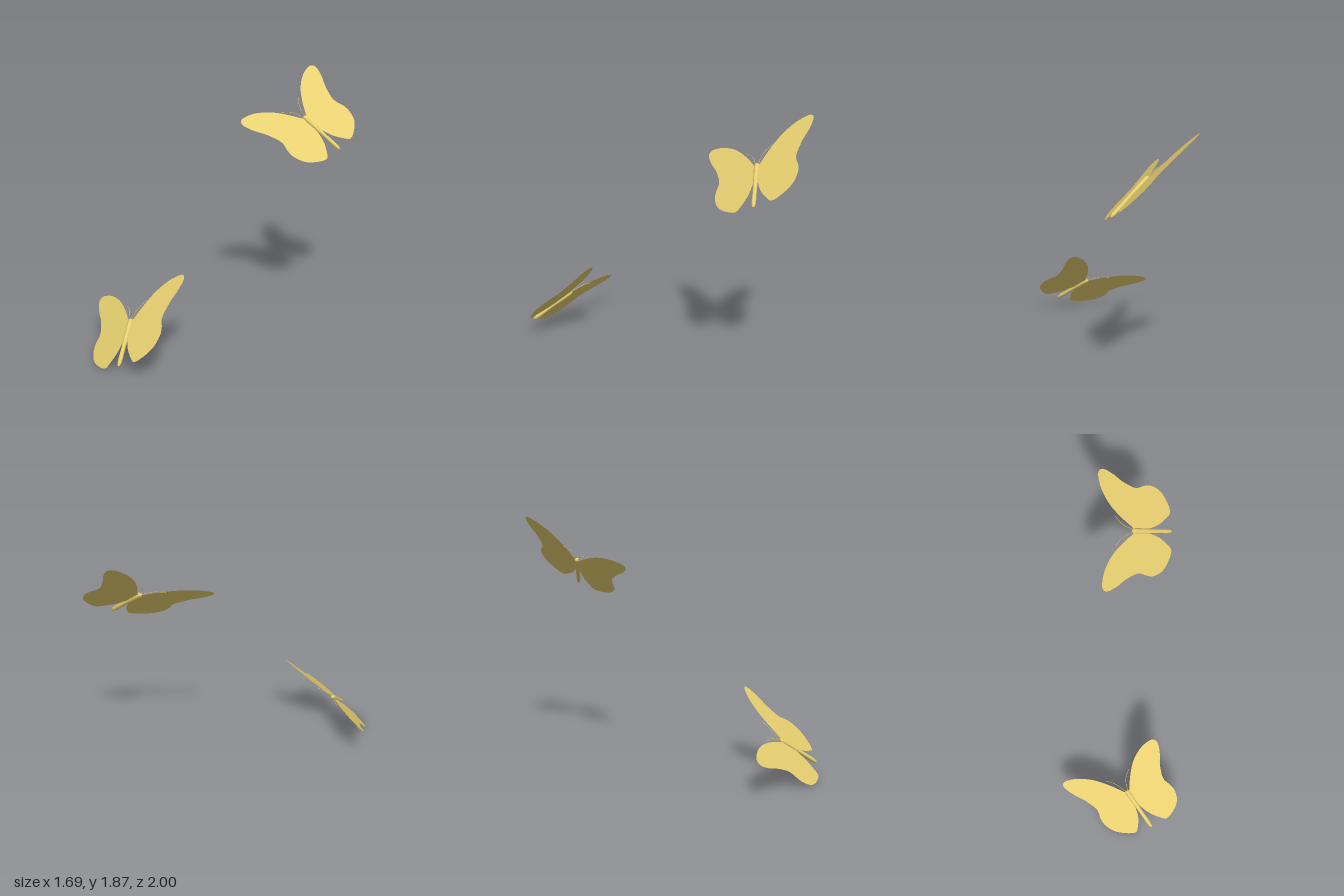
import * as THREE from 'three';

const material = new THREE.MeshStandardMaterial({ color: 0xe8d070, side: THREE.DoubleSide });

// Wing outline: x runs out from the body, y runs towards the head
const leadingEdge = [[0.025, 0.017], [0.087, 0.111], [0.173, 0.211], [0.268, 0.278],
  [0.348, 0.306], [0.402, 0.306], [0.423, 0.266], [0.393, 0.18], [0.344, 0.096], [0.307, 0.002]];
const hindEdge = [[0.303, -0.045], [0.322, -0.111], [0.323, -0.175], [0.29, -0.256],
  [0.222, -0.315], [0.142, -0.349], [0.097, -0.31], [0.048, -0.236], [0.02, -0.152]];

function wingGeometry(side) {
  const pts = (list) => list.map(([x, y]) => new THREE.Vector2(x * side, y));
  const shape = new THREE.Shape();
  shape.moveTo(0, 0.012);
  shape.lineTo(leadingEdge[0][0] * side, leadingEdge[0][1]);
  shape.splineThru(pts(leadingEdge.slice(1)));
  shape.splineThru(pts(hindEdge));
  shape.lineTo(0, -0.1);
  return new THREE.ShapeGeometry(shape, 3);
}

function add(group, name, geometry) {
  const mesh = new THREE.Mesh(geometry, material);
  mesh.name = name;
  group.add(mesh);
  return mesh;
}

// One butterfly, lying in its local xy plane with the head towards +y
function butterfly(name, origin, across, forward, droop) {
  const group = new THREE.Group();
  group.name = name;

  // Slim body, thicker at the head, rounded at the tail
  const profile = [[0, -0.36], [0.008, -0.355], [0.014, -0.335], [0.016, -0.3],
    [0.015, -0.22], [0.018, -0.1], [0.02, -0.03], [0.018, 0.01], [0.011, 0.02], [0, 0.022]];
  add(group, 'body', new THREE.LatheGeometry(profile.map(([r, y]) => new THREE.Vector2(r, y)), 10));

  for (const side of [1, -1]) {
    const label = side > 0 ? 'left' : 'right';
    add(group, label + 'Wing', wingGeometry(side)).rotation.y = side * droop;

    // Thin curved antenna
    const curve = new THREE.CatmullRomCurve3([[0.008, 0.01, 0], [0.034, 0.085, 0], [0.064, 0.13, -0.006],
      [0.106, 0.165, -0.015]].map(([x, y, z]) => new THREE.Vector3(x * side, y, z)));
    add(group, label + 'Antenna', new THREE.TubeGeometry(curve, 14, 0.0018, 5));
  }

  // Orient by the wing and body directions
  const f = new THREE.Vector3(...forward).normalize();
  const n = new THREE.Vector3(...across).cross(f).normalize();
  const u = f.clone().cross(n);
  group.quaternion.setFromRotationMatrix(new THREE.Matrix4().makeBasis(u, f, n));
  group.position.set(...origin);
  return group;
}

export function createModel() {
  const model = new THREE.Group();
  model.name = 'butterflies';
  model.add(
    butterfly('lowerButterfly', [-0.46, 0.285, 0.68], [0.88, 0.42, 0.22], [-0.068, 0.572, -0.817], 0.035),
    butterfly('upperButterfly', [0.49, 1.54, -0.62], [0.487, 0.413, -0.768], [-0.796, 0.573, -0.196], 0.007),
  );
  return model;
}
